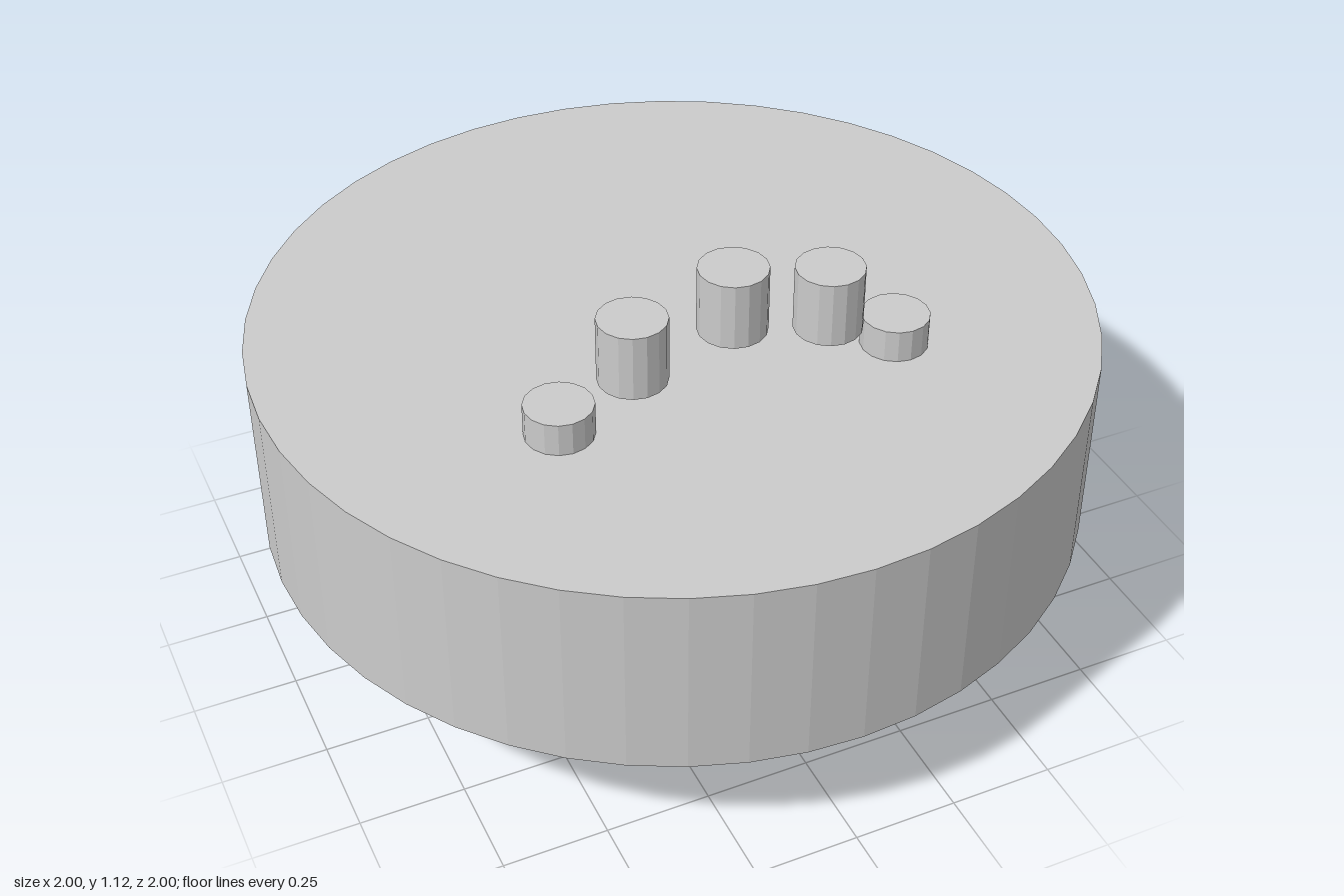
import * as THREE from 'three';

const CENTRE_Y = 0.56;

export function createModel() {
  const model = new THREE.Group();
  const material = new THREE.MeshStandardMaterial({ color: 0xcccccc, flatShading: true });

  // Broad upright drum
  const drum = new THREE.Mesh(new THREE.CylinderGeometry(1, 1, 0.48, 48), material);
  drum.name = 'drum';
  drum.position.y = CENTRE_Y;
  model.add(drum);

  // Twelve upright pegs on a vertical ring that passes through the drum
  const pegs = new THREE.Group();
  pegs.name = 'pegRing';
  pegs.position.set(0, CENTRE_Y, 0.32);
  const pegGeometry = new THREE.CylinderGeometry(0.08, 0.08, 0.16, 16);
  for (let i = 0; i < 12; i++) {
    const angle = (i * Math.PI) / 6;
    const peg = new THREE.Mesh(pegGeometry, material);
    peg.name = `peg${i + 1}`;
    peg.position.set(0.48 * Math.sin(angle), 0.48 * Math.cos(angle), 0);
    pegs.add(peg);
  }
  model.add(pegs);

  return model;
}
